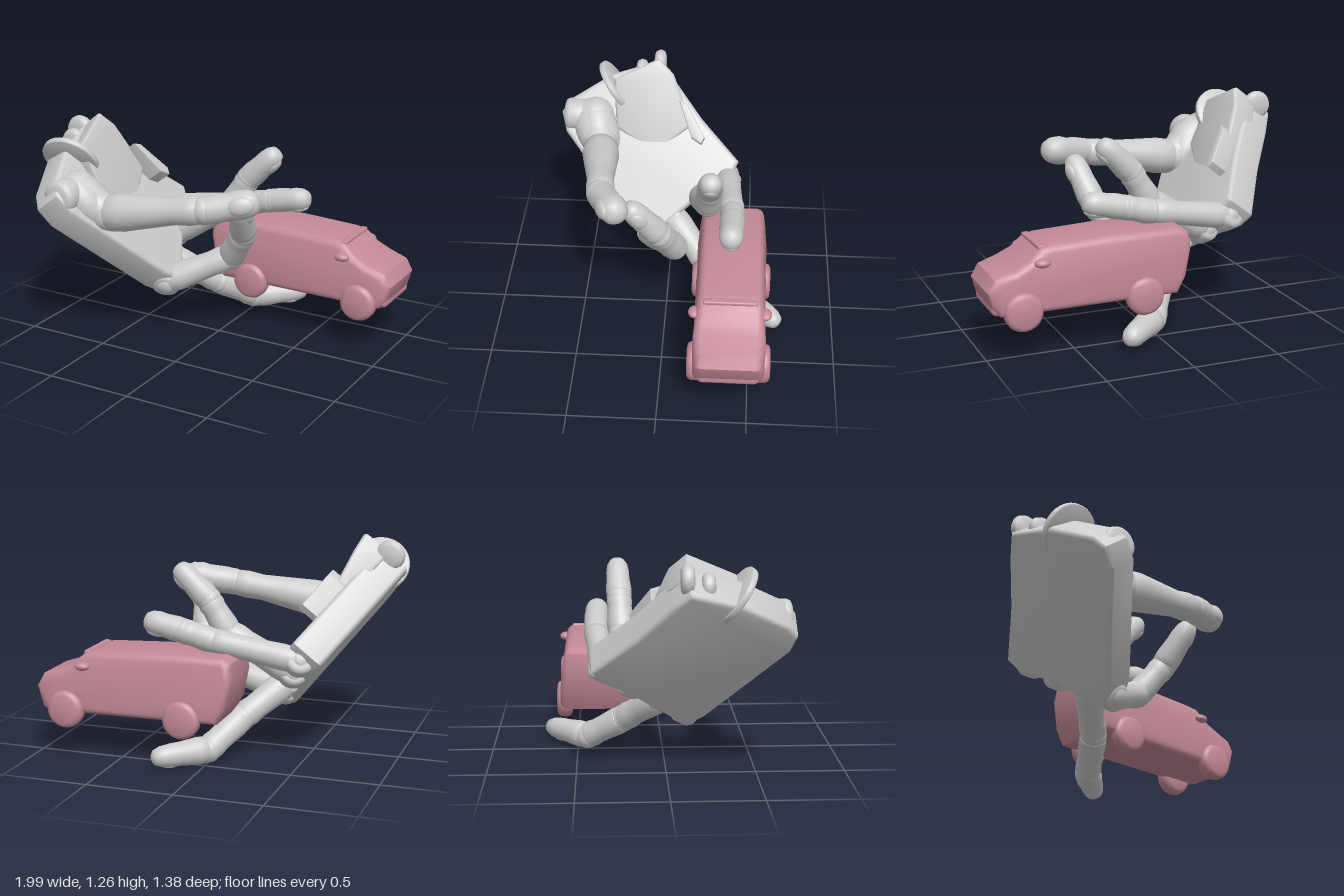
import * as THREE from 'three';
import { toCreasedNormals } from 'three/addons/utils/BufferGeometryUtils.js';
import { RoundedBoxGeometry } from 'three/addons/geometries/RoundedBoxGeometry.js';

const grey = new THREE.MeshStandardMaterial({ color: 0xcccccc });
const pink = new THREE.MeshStandardMaterial({ color: 0xc48a98 });
const V = (p) => new THREE.Vector3(...p);
const UP = new THREE.Vector3(0, 1, 0);

function add(parent, name, geometry, material, pos = [0, 0, 0]) {
  const mesh = new THREE.Mesh(geometry, material);
  mesh.name = name;
  mesh.position.set(...pos);
  parent.add(mesh);
  return mesh;
}

// bevelled slab from an outline in the local xy plane; rule(vertex) may reshape it
function slab(points, depth, bevel, rule) {
  const shape = new THREE.Shape(points.map(([x, y]) => new THREE.Vector2(x, y)));
  const g = new THREE.ExtrudeGeometry(shape, {
    depth, bevelEnabled: true, bevelThickness: bevel, bevelSize: bevel, bevelOffset: -bevel, bevelSegments: 3,
  });
  if (rule) {
    const pos = g.attributes.position, v = new THREE.Vector3();
    for (let i = 0; i < pos.count; i++) {
      rule(v.fromBufferAttribute(pos, i));
      pos.setXYZ(i, v.x, v.y, v.z);
    }
  }
  return toCreasedNormals(g, 0.6);
}

// disc or barrel with softened rims, centred on its axis
function barrel(r, h, soft) {
  const p = [[0, -h / 2], [r - soft, -h / 2], [r - soft * 0.3, -h / 2 + soft * 0.3], [r, -h / 2 + soft],
    [r, h / 2 - soft], [r - soft * 0.3, h / 2 - soft * 0.3], [r - soft, h / 2], [0, h / 2]];
  return toCreasedNormals(new THREE.LatheGeometry(p.map(([x, y]) => new THREE.Vector2(x, y)), 32), 0.9);
}

// one tapered finger section; a tip closes in a dome
function phalanx(parent, name, a, b, r0, r1, tip) {
  const dir = b.clone().sub(a), L = dir.length();
  const end = tip
    ? [[r1, L * 0.65], [r1 * 0.9, L * 0.83], [r1 * 0.65, L * 0.95], [r1 * 0.3, L * 0.99], [0, L]]
    : [[r1 * 0.93, L * 0.72], [r1, L * 0.86], [r1 * 0.92, L * 0.97], [r1 * 0.6, L * 1.02], [0, L * 1.03]];
  const profile = [[0, 0], [r0 * 0.75, 0], [r0 * 0.97, L * 0.06], [r0, L * 0.2], [(r0 + r1) * 0.47, L * 0.5], ...end];
  const g = new THREE.LatheGeometry(profile.map(([x, y]) => new THREE.Vector2(x, y)), 24);
  const mesh = add(parent, name, toCreasedNormals(g, 0.7), grey, a.toArray());
  mesh.quaternion.setFromUnitVectors(UP, dir.normalize());
}

// jointed digit through a list of points, with a nail facing outwards
function digit(parent, name, path, radii, out) {
  const group = new THREE.Group();
  group.name = name;
  parent.add(group);
  const p = path.map(V), last = p.length - 1;
  for (let i = 0; i < last; i++) {
    phalanx(group, i === last - 1 ? 'fingertip' : 'fingerSection', p[i], p[i + 1], radii[i], radii[i + 1], i === last - 1);
    add(group, 'joint', new THREE.SphereGeometry(radii[i] * 0.97, 24, 16), grey, path[i]);
  }
  const dir = p[last].clone().sub(p[last - 1]);
  const pos = p[last - 1].clone().addScaledVector(dir, 0.66);
  dir.normalize();
  const n = V(out).addScaledVector(dir, -V(out).dot(dir)).normalize();
  const r = radii[last];
  const nail = add(group, 'nail', new THREE.SphereGeometry(1, 20, 14), grey);
  nail.scale.set(r * 0.62, r * 0.9, r * 0.35);
  nail.position.copy(pos.addScaledVector(n, r * 0.75));
  nail.quaternion.setFromRotationMatrix(new THREE.Matrix4().makeBasis(dir.clone().cross(n), dir, n));
}

function buildPalm(hand) {
  // local x runs from wrist to knuckles, local z out of the palm
  const palm = new THREE.Group();
  palm.name = 'palm';
  palm.quaternion.setFromRotationMatrix(new THREE.Matrix4().makeBasis(
    V([0.611, -0.792, 0]), V([0, 0, -1]), V([0.792, 0.611, 0])));
  hand.add(palm);
  const plate = [[-1.22, -0.63], [-1.14, -0.68], [-1.02, -0.65], [-0.46, -0.22], [-0.38, -0.12], [-0.53, 0.05],
    [-0.65, 0.18], [-0.78, 0.37], [-0.87, 0.41], [-1.12, 0.18], [-1.36, 0], [-1.47, -0.1], [-1.38, -0.38]];
  add(palm, 'palmPlate', slab(plate, 0.15, 0.025), grey, [0, 0, -0.11]);
  // wrist block sloping down into the palm
  const block = [[-1.38, 0], [-1.47, -0.09], [-1.34, -0.36], [-1.05, -0.34], [-0.9, -0.1], [-1.08, 0.12]];
  const slope = (v) => { if (v.z > 0.06) v.z -= 0.24 * Math.max(0, v.x + 1.45); };
  add(palm, 'wristBlock', slab(block, 0.14, 0.02, slope), grey, [0, 0, 0.02]);
  // raised flap along the outer edge
  const flap = [[-1.22, 0.04], [-1.2, 0.09], [-1.0, 0.2], [-0.96, 0.18], [-1.0, 0.12]];
  add(palm, 'palmFlap', slab(flap, 0.14, 0.008), grey, [0, 0, 0.03]);
  // mound carrying the thumb
  const mound = add(palm, 'thumbMound', new THREE.SphereGeometry(1, 32, 20), grey, [-1.04, -0.46, 0.05]);
  mound.scale.set(0.2, 0.13, 0.11);
  mound.rotation.z = 0.4;
}

function buildWrist(hand) {
  const disc = add(hand, 'wristDisc', barrel(0.17, 0.035, 0.006), grey, [-0.79, 1.05, 0.35]);
  disc.quaternion.setFromUnitVectors(UP, V([0.12, -0.55, 0.8]).normalize());
  const knobs = [[-0.9, 1.15, 0.09, 0.085, 0.07], [-0.87, 1.11, 0.2, 0.075, 0.07], [-0.67, 0.91, 0.59, 0.1, 0.14]];
  for (const [x, y, z, r, h] of knobs) {
    add(hand, 'wristKnob', barrel(r, h, 0.03), grey, [x, y, z]).rotation.x = Math.PI / 2;
  }
}

function buildCar(root) {
  const car = new THREE.Group();
  car.name = 'toyCar';
  car.position.z = -0.39;
  root.add(car);
  // side profile, narrowed towards the roof and nose
  const side = [[-0.09, 0.265], [-0.14, 0.36], [-0.175, 0.52], [-0.165, 0.61], [-0.12, 0.638], [0.3, 0.638], [0.64, 0.622],
    [0.7, 0.61], [0.77, 0.545], [0.85, 0.505], [0.96, 0.47], [1.0, 0.4], [0.975, 0.31], [0.93, 0.255]];
  const taper = (v) => {
    const k = 1.03 - 0.16 * Math.max(0, (v.y - 0.42) / 0.22) - 0.1 * Math.max(0, (v.x - 0.85) / 0.14);
    v.z = (v.z - 0.16) * k;
  };
  add(car, 'carBody', slab(side, 0.32, 0.04, taper), pink);
  add(car, 'bumper', new RoundedBoxGeometry(0.07, 0.08, 0.34, 3, 0.03), pink, [0.94, 0.3, 0]);
  add(car, 'roofEdge', new RoundedBoxGeometry(0.04, 0.025, 0.3, 2, 0.01), pink, [0.69, 0.61, 0]);
  for (const s of [-1, 1]) {
    for (const x of [0.11, 0.81]) {
      add(car, 'wheel', barrel(0.108, 0.09, 0.028), pink, [x, 0.28, s * 0.185]).rotation.x = Math.PI / 2;
    }
    const mirror = add(car, 'sideMirror', new THREE.SphereGeometry(1, 16, 12), pink, [0.7, 0.54, s * 0.195]);
    mirror.scale.set(0.045, 0.025, 0.035);
  }
}

export function createModel() {
  const root = new THREE.Group();
  root.name = 'handWithToyCar';
  const hand = new THREE.Group();
  hand.name = 'hand';
  root.add(hand);
  buildPalm(hand);
  buildWrist(hand);
  digit(hand, 'thumb', [[-0.66, 0.91, 0.47], [-0.5, 0.79, 0.43], [0.12, 0.89, 0.37], [0.4, 0.95, 0.24]],
    [0.12, 0.11, 0.083, 0.085], [0.6, 0.2, 0.8]);
  const fingers = [
    ['indexFinger', [[-0.29, 0.31, 0.12], [0.05, 0.47, -0.05], [0.18, 0.66, 0.03], [0.25, 0.91, 0.21]],
      [0.085, 0.08, 0.078, 0.07], [0.9, -0.2, -0.3]],
    ['middleFinger', [[-0.34, 0.4, -0.02], [-0.13, 0.22, -0.23], [0, 0.08, -0.44], [0.25, 0.075, -0.68]],
      [0.085, 0.08, 0.078, 0.066], [0.2, -1, 0]],
    ['ringFinger', [[-0.42, 0.5, -0.19], [-0.05, 0.72, -0.24], [0.06, 0.9, -0.25], [0.25, 1.09, -0.26]],
      [0.085, 0.08, 0.075, 0.068], [0.7, -0.7, 0]],
    ['littleFinger', [[-0.5, 0.61, -0.345], [0, 0.7, -0.385], [0.16, 0.74, -0.385], [0.4, 0.79, -0.38]],
      [0.075, 0.073, 0.073, 0.07], [0.3, -1, 0]],
  ];
  // knuckle barrels lie along the front edge of the palm
  const edge = V([-0.21, 0.29, -0.48]).normalize();
  for (const [name, path, radii, out] of fingers) {
    digit(hand, name, path, radii, out);
    add(hand, 'knuckle', barrel(0.085, 0.12, 0.025), grey, path[0]).quaternion.setFromUnitVectors(UP, edge);
  }
  buildCar(root);
  return root;
}
